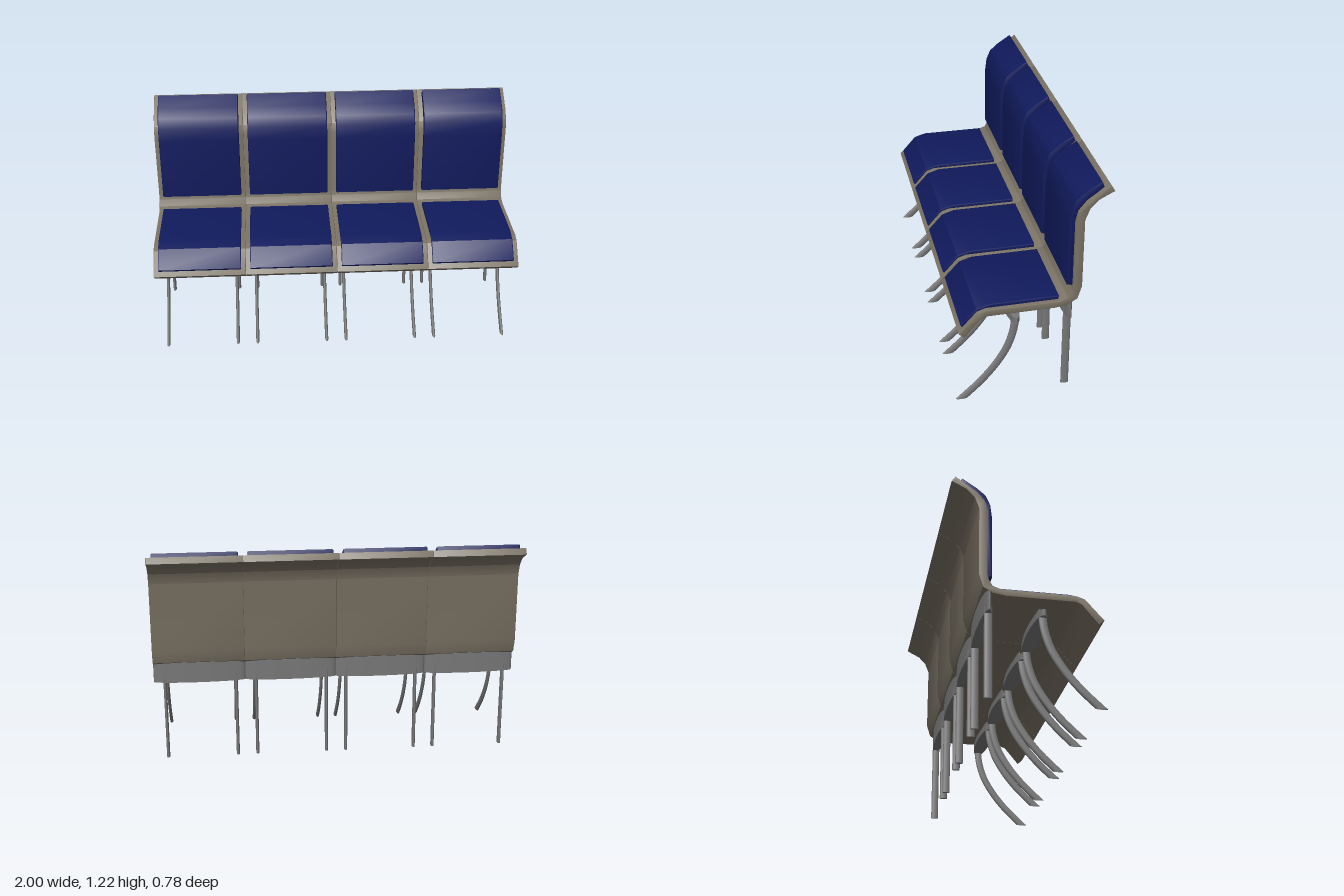
import * as THREE from 'three';
import { toCreasedNormals } from 'three/addons/utils/BufferGeometryUtils.js';

const shellMat = new THREE.MeshStandardMaterial({ color: 0x7a7264 });
const cushionMat = new THREE.MeshStandardMaterial({ color: 0x101a5c });
const metalMat = new THREE.MeshStandardMaterial({ color: 0x777777 });

// Side outlines as [z, y] points
const SHELL = [
  [0.38, 0.452], [0.285, 0.56], [0.24, 0.575], [-0.13, 0.575], [-0.175, 0.59], [-0.195, 0.625],
  [-0.202, 0.66], [-0.202, 1.02], [-0.215, 1.075], [-0.255, 1.125], [-0.368, 1.205],
  [-0.387, 1.174], [-0.31, 1.135], [-0.268, 1.09], [-0.245, 1.03], [-0.245, 0.65],
  [-0.224, 0.58], [-0.175, 0.55], [-0.11, 0.54], [0.24, 0.54], [0.268, 0.528], [0.352, 0.426],
];
const SEAT_PAD = [
  [0.366, 0.485], [0.287, 0.572], [0.22, 0.593], [-0.135, 0.593], [-0.135, 0.57],
  [0.23, 0.57], [0.278, 0.556], [0.358, 0.47],
];
const BACK_PAD = [
  [-0.174, 0.652], [-0.174, 1.0], [-0.183, 1.072], [-0.206, 1.126], [-0.255, 1.168], [-0.33, 1.217],
  [-0.342, 1.187], [-0.265, 1.127], [-0.222, 1.075], [-0.207, 1.01], [-0.207, 0.645],
];

// Extrudes a side outline across x, centred, with a small bevel
function slab(name, outline, width, bevel, mat) {
  const shape = new THREE.Shape(outline.map(([z, y]) => new THREE.Vector2(z, y)));
  const depth = width - 2 * bevel;
  const geo = new THREE.ExtrudeGeometry(shape, {
    depth, bevelEnabled: true, bevelThickness: bevel, bevelSize: bevel, bevelOffset: -bevel, bevelSegments: 2,
  });
  geo.translate(0, 0, -depth / 2).rotateY(-Math.PI / 2);
  const mesh = new THREE.Mesh(toCreasedNormals(geo, 0.5), mat);
  mesh.name = name;
  return mesh;
}

// Upright cylinder with an elliptical plan
function post(name, rx, rz, y0, y1, x, z) {
  const geo = new THREE.CylinderGeometry(1, 1, y1 - y0, 32);
  geo.scale(rx, 1, rz);
  const mesh = new THREE.Mesh(geo, metalMat);
  mesh.position.set(x, (y0 + y1) / 2, z);
  mesh.name = name;
  return mesh;
}

// Curved, flattened tube cut level with the floor
function frontLeg(x) {
  const path = new THREE.CatmullRomCurve3([
    [0.47, 0.08], [0.40, 0.088], [0.30, 0.118], [0.20, 0.175], [0.10, 0.256], [0, 0.36], [-0.03, 0.393],
  ].map(([y, z]) => new THREE.Vector3(0, y, z)));
  const geo = new THREE.TubeGeometry(path, 24, 0.021, 14);
  geo.scale(0.43, 1, 1);
  const p = geo.attributes.position;
  for (let i = 0; i < p.count; i++) {
    const y = p.getY(i);
    if (y < 0) p.setXYZ(i, p.getX(i), 0, p.getZ(i) + y * 1.08);
  }
  geo.computeVertexNormals();
  const mesh = new THREE.Mesh(geo, metalMat.clone());
  mesh.material.side = THREE.DoubleSide;
  mesh.position.x = x;
  mesh.name = 'frontLeg';
  return mesh;
}

function createSeat() {
  const seat = new THREE.Group();
  seat.name = 'seat';
  seat.add(
    slab('shell', SHELL, 0.5, 0.003, shellMat),
    slab('seatCushion', SEAT_PAD, 0.45, 0.005, cushionMat),
    slab('backCushion', BACK_PAD, 0.45, 0.006, cushionMat),
    post('rearBeam', 0.25, 0.029, 0.46, 0.575, 0, -0.191),
    post('frontBracket', 0.235, 0.0425, 0.46, 0.495, 0, 0.082),
    post('bracketStem', 0.15, 0.015, 0.49, 0.545, 0, 0.081),
  );
  for (const side of [-1, 1]) {
    const x = side * 0.195 - 0.005;
    seat.add(frontLeg(x), post('rearLeg', 0.009, 0.021, 0.013, 0.5, x, -0.19));
  }
  return seat;
}

export function createModel() {
  const bench = new THREE.Group();
  bench.name = 'fourSeatBench';
  for (let i = 0; i < 4; i++) {
    const seat = createSeat();
    seat.position.x = -0.75 + i * 0.5;
    bench.add(seat);
  }
  return bench;
}
